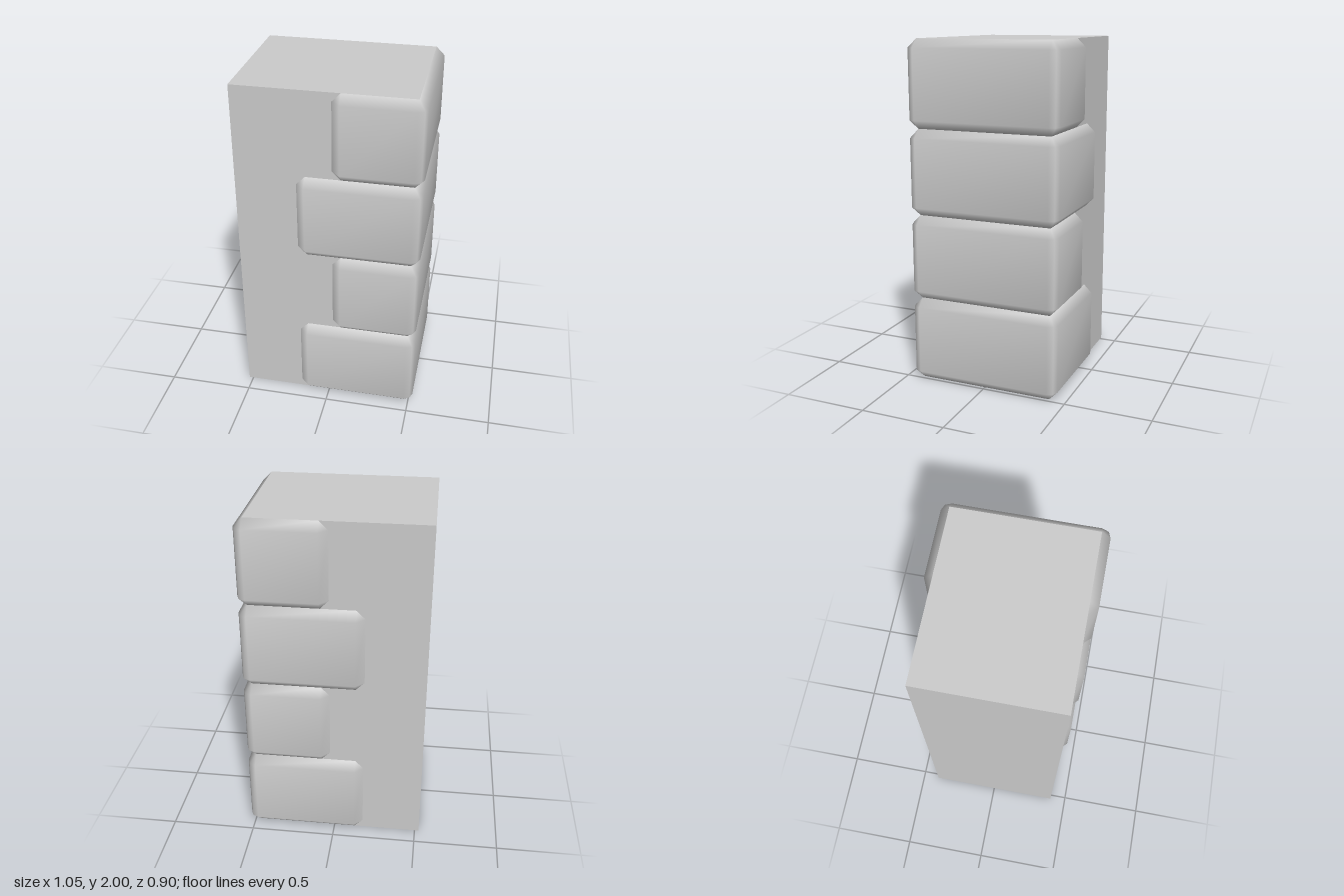
import * as THREE from 'three';
import { mergeVertices } from 'three/addons/utils/BufferGeometryUtils.js';

const material = new THREE.MeshStandardMaterial({ color: 0xcccccc, side: THREE.DoubleSide });
const BEVEL = 0.05, BLOCK_H = 0.5;
const WALL_X = 0.475, WALL_Z = 0.4; // right and front faces of the core

// Core shaft, open underneath
function coreGeometry() {
  const g = new THREE.BoxGeometry(1, 2, 2 * WALL_Z).translate(-0.025, 1, 0);
  const index = Array.from(g.index.array);
  index.splice(18, 6); // drop the bottom face
  g.setIndex(index);
  return g;
}

// Bevelled corner stone wrapping front, +x side and back; its ends start at x = start
function stoneGeometry(start) {
  const diag = BEVEL * Math.SQRT1_2;
  const mirror = (half) => [...half, ...half.map(([x, z]) => [x, -z]).reverse()];
  const outer = mirror([
    [start, WALL_Z],
    [start + BEVEL, WALL_Z + BEVEL],
    [WALL_X, WALL_Z + BEVEL],
    [WALL_X + diag, WALL_Z + diag],
    [WALL_X + BEVEL, WALL_Z],
  ]);
  // the outline shrinks back to the wall at the top and bottom edges
  const inner = mirror([
    [start + BEVEL, WALL_Z],
    [start + BEVEL, WALL_Z],
    [WALL_X, WALL_Z],
    [WALL_X, WALL_Z],
    [WALL_X, WALL_Z],
  ]);
  const rings = [[inner, 0], [outer, BEVEL], [outer, BLOCK_H - BEVEL], [inner, BLOCK_H]];
  const n = outer.length, position = [], index = [];
  for (const [ring, y] of rings) for (const [x, z] of ring) position.push(x, y, z);
  for (let j = 0; j < rings.length - 1; j++) {
    for (let i = 0; i < n - 1; i++) {
      const a = j * n + i, b = a + 1, c = b + n, d = a + n;
      index.push(a, b, c, a, c, d);
    }
  }
  let g = new THREE.BufferGeometry();
  g.setAttribute('position', new THREE.Float32BufferAttribute(position, 3));
  g.setIndex(index);
  g = mergeVertices(g);
  g.computeVertexNormals();
  return g;
}

export function createModel() {
  const model = new THREE.Group();
  model.name = 'cornerPillar';

  const core = new THREE.Mesh(coreGeometry(), material);
  core.name = 'core';
  model.add(core);

  // Alternating long and short corner stones
  const long = stoneGeometry(-0.175), short = stoneGeometry(0.025);
  for (let k = 0; k < 4; k++) {
    const stone = new THREE.Mesh(k % 2 ? short : long, material);
    stone.name = (k % 2 ? 'shortStone' : 'longStone') + (k + 1);
    stone.position.y = k * BLOCK_H;
    model.add(stone);
  }
  return model;
}
